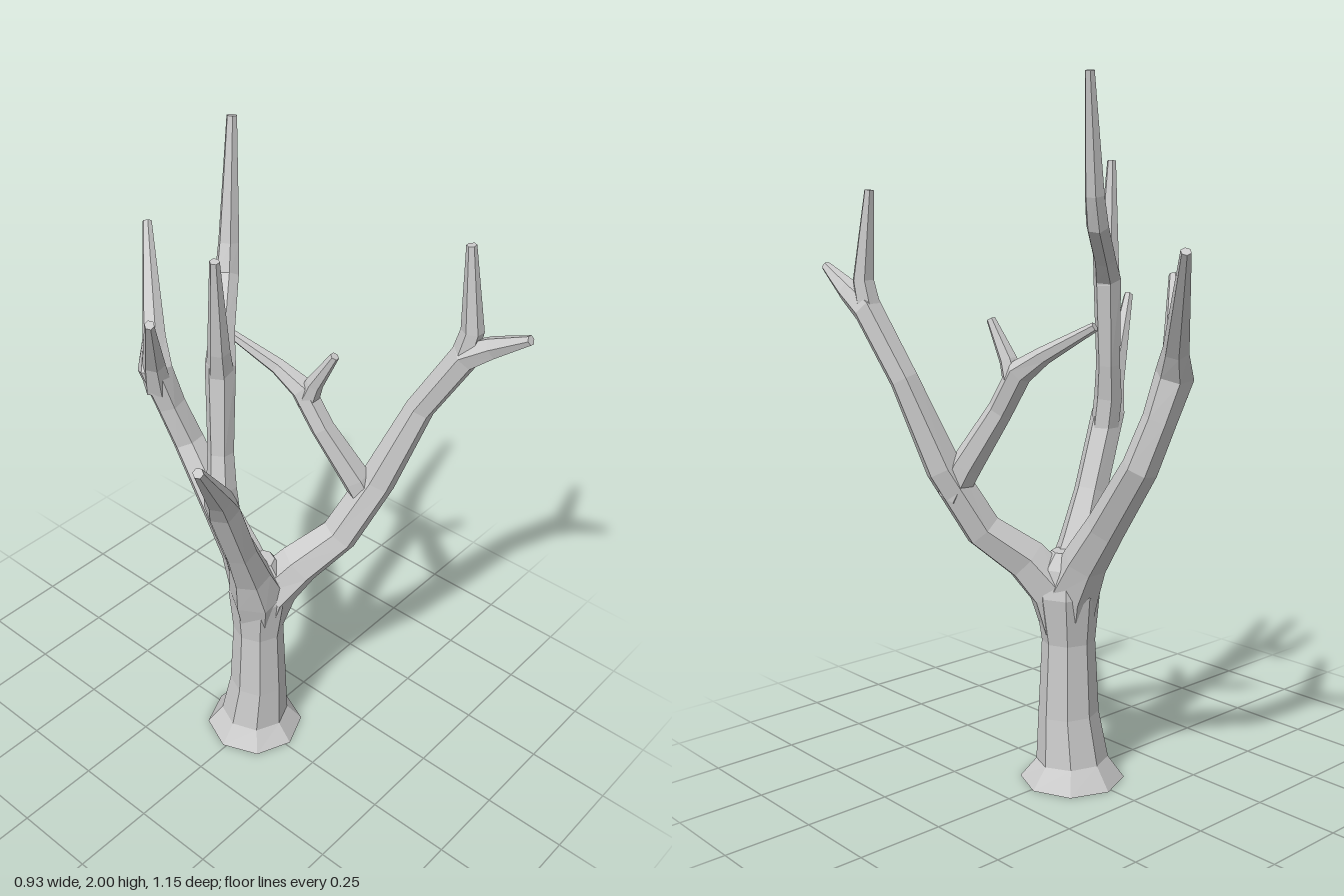
import * as THREE from 'three';

const material = new THREE.MeshStandardMaterial({
  color: 0xcccccc, flatShading: true, side: THREE.DoubleSide,
});

// Faceted tapering limb swept through [x, y, z, radius] points, closed at its tip
function limb(name, path, sides = 6) {
  const centres = path.map(([x, y, z]) => new THREE.Vector3(x, y, z));
  const n = path.length;
  const u = new THREE.Vector3(1, 0, 0);
  const pos = [], index = [];
  centres.forEach((c, i) => {
    // Ring faces the average of the directions in and out
    const t = new THREE.Vector3();
    if (i > 0) t.add(c.clone().sub(centres[i - 1]).normalize());
    if (i < n - 1) t.add(centres[i + 1].clone().sub(c).normalize());
    t.normalize();
    u.addScaledVector(t, -u.dot(t)).normalize();
    const v = t.clone().cross(u);
    for (let s = 0; s < sides; s++) {
      const a = (s / sides) * Math.PI * 2, r = path[i][3];
      const p = c.clone().addScaledVector(u, Math.cos(a) * r).addScaledVector(v, Math.sin(a) * r);
      pos.push(p.x, p.y, p.z);
    }
  });
  for (let i = 0; i < n - 1; i++) {
    for (let s = 0; s < sides; s++) {
      const a = i * sides + s, b = i * sides + (s + 1) % sides;
      index.push(a, b, b + sides, a, b + sides, a + sides);
    }
  }
  const last = (n - 1) * sides;
  for (let s = 1; s < sides - 1; s++) index.push(last, last + s, last + s + 1);
  const geometry = new THREE.BufferGeometry();
  geometry.setAttribute('position', new THREE.Float32BufferAttribute(pos, 3));
  geometry.setIndex(index);
  geometry.computeVertexNormals();
  const mesh = new THREE.Mesh(geometry, material);
  mesh.name = name;
  return mesh;
}

export function createModel() {
  const tree = new THREE.Group();
  tree.name = 'bareTree';

  // Hollow trunk with flared foot and a swollen crown where the boughs part
  tree.add(limb('trunk', [
    [0.015, 0, -0.01, 0.152], [0.015, 0.06, -0.01, 0.105], [0.02, 0.2, 0, 0.088],
    [0.02, 0.42, 0, 0.077], [0.025, 0.56, 0, 0.094], [0.025, 0.64, 0, 0.078], [0.025, 0.685, 0, 0.045],
  ], 8));

  // Front left bough with its forked end and inner branch
  const left = new THREE.Group();
  left.name = 'leftBough';
  left.add(
    limb('bough', [
      [0.03, 0.42, 0.005, 0.06], [0.05, 0.57, 0.025, 0.08], [0.11, 0.66, 0.08, 0.068],
      [0.21, 0.75, 0.15, 0.058], [0.3, 0.93, 0.21, 0.054], [0.375, 1.18, 0.285, 0.042],
      [0.42, 1.37, 0.385, 0.044], [0.433, 1.42, 0.46, 0.032], [0.435, 1.483, 0.565, 0.014],
    ]),
    limb('upperTwig', [
      [0.415, 1.34, 0.375, 0.038], [0.425, 1.45, 0.395, 0.032], [0.415, 1.695, 0.37, 0.014],
    ]),
    limb('innerBranch', [
      [0.285, 0.85, 0.2, 0.045], [0.26, 0.94, 0.16, 0.045], [0.21, 1.1, 0.07, 0.036],
      [0.195, 1.21, 0.005, 0.037], [0.175, 1.26, -0.07, 0.025], [0.12, 1.343, -0.21, 0.013],
    ]),
    limb('innerTwig', [
      [0.198, 1.17, 0.02, 0.034], [0.2, 1.24, 0.045, 0.026], [0.21, 1.348, 0.105, 0.013],
    ]),
  );

  // Right bough with its tall, twice-forked branch
  const right = new THREE.Group();
  right.name = 'rightBough';
  right.add(
    limb('bough', [
      [0.02, 0.42, 0, 0.06], [0.0, 0.58, 0.01, 0.085], [-0.045, 0.69, 0.025, 0.062],
      [-0.11, 0.83, 0.045, 0.05], [-0.205, 1.05, 0.07, 0.05], [-0.255, 1.125, 0.105, 0.037],
      [-0.45, 1.377, 0.23, 0.014],
    ]),
    limb('tallBranch', [
      [-0.18, 1.0, 0.06, 0.042], [-0.185, 1.1, 0.05, 0.042], [-0.17, 1.2, 0.035, 0.036],
      [-0.15, 1.45, 0.02, 0.041], [-0.1, 1.51, -0.02, 0.034], [0.01, 1.6, -0.105, 0.033],
      [0.035, 1.68, -0.12, 0.029], [0.083, 1.996, -0.15, 0.014],
    ]),
    limb('tallTwig', [
      [-0.15, 1.42, 0.02, 0.038], [-0.17, 1.51, 0.035, 0.03], [-0.205, 1.778, 0.06, 0.013],
    ]),
  );

  // Back bough ending in a wide fork
  const back = new THREE.Group();
  back.name = 'backBough';
  back.add(
    limb('bough', [
      [0.02, 0.42, 0, 0.06], [0.025, 0.57, -0.02, 0.08], [0.03, 0.67, -0.08, 0.065],
      [0.03, 0.78, -0.16, 0.056], [0.04, 0.97, -0.3, 0.05], [0.01, 1.1, -0.34, 0.047],
      [-0.02, 1.22, -0.365, 0.053], [0.02, 1.29, -0.405, 0.036], [0.165, 1.548, -0.565, 0.014],
    ]),
    limb('backTwig', [
      [-0.015, 1.16, -0.36, 0.044], [-0.045, 1.26, -0.34, 0.034], [-0.152, 1.468, -0.235, 0.014],
    ]),
  );

  tree.add(left, right, back);
  return tree;
}
